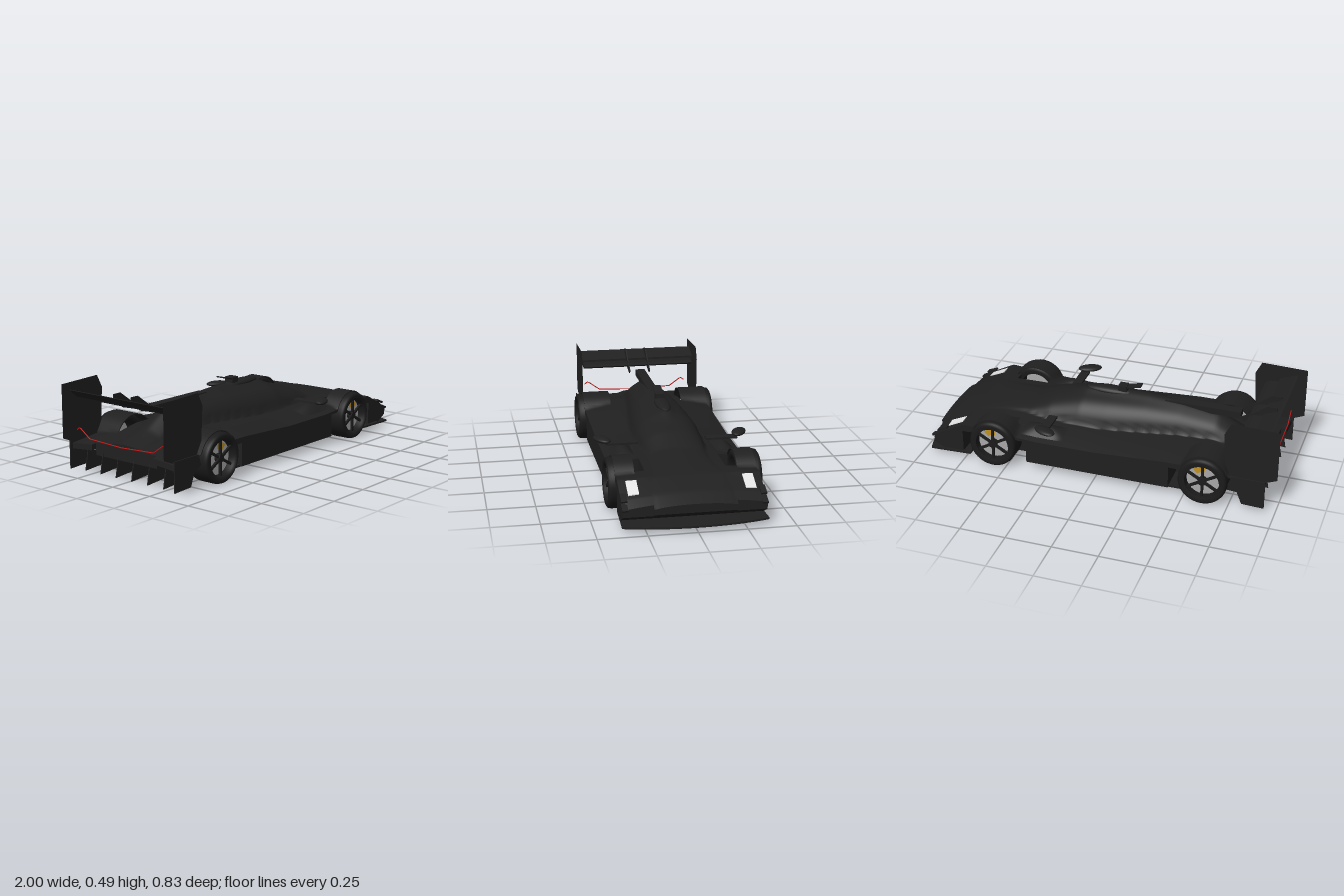
import * as THREE from 'three';

const paint = (name, color) => new THREE.MeshStandardMaterial({ name, color, side: THREE.DoubleSide });
const { clamp, smoothstep } = THREE.MathUtils;

// Body stations: x, roof height, canopy half width, shoulder height, edge height
const STATIONS = [
  [-0.94, 0.185, 0.10, 0.175, 0.155], [-0.75, 0.235, 0.10, 0.205, 0.175],
  [-0.60, 0.315, 0.11, 0.235, 0.20], [-0.40, 0.348, 0.13, 0.24, 0.20],
  [-0.20, 0.36, 0.155, 0.235, 0.19], [0.00, 0.358, 0.175, 0.23, 0.18],
  [0.15, 0.353, 0.18, 0.235, 0.18], [0.33, 0.31, 0.17, 0.235, 0.18],
  [0.46, 0.257, 0.15, 0.235, 0.19], [0.60, 0.238, 0.15, 0.228, 0.20],
  [0.75, 0.218, 0.18, 0.215, 0.212], [0.88, 0.172, 0.20, 0.168, 0.145],
  [0.96, 0.13, 0.20, 0.125, 0.09],
];
const EDGE = 0.365, AXLE_Y = 0.133, WHEELS = [-0.61, 0.572];

// Height of the upper skin: sloping shoulder, canopy dome and a narrow roof ridge
function skin(x, z) {
  let i = 0;
  while (i < STATIONS.length - 2 && x > STATIONS[i + 1][0]) i++;
  const a = STATIONS[i], b = STATIONS[i + 1];
  const t = clamp((x - a[0]) / (b[0] - a[0]), 0, 1);
  const [, roof, half, shoulder, edge] = a.map((v, k) => v + (b[k] - v) * t);
  const base = shoulder + (edge - shoulder) * (z / EDGE) ** 2;
  const dome = Math.pow(Math.max(0, 1 - Math.pow(Math.abs(z) / half, 2.9)), 0.6);
  const ridge = 0.022 * Math.exp(-((z / 0.045) ** 2)) * smoothstep(x, -0.9, -0.6) * (1 - smoothstep(x, 0.1, 0.28));
  return base + (roof - shoulder) * dome + ridge;
}

// Underside: flat floor, lifted nose tip and rising diffuser
function belly(x) {
  if (x > 0.86) return 0.035 + (x - 0.86) * 0.55;
  if (x < -0.6) return 0.05 + (-0.6 - x) * 0.2;
  return 0.045;
}

// Circular arch of radius r around the nearest axle
function arch(x, r) {
  const d = x - (x < 0 ? WHEELS[0] : WHEELS[1]);
  return Math.abs(d) < r ? AXLE_Y + Math.sqrt(r * r - d * d) : 0;
}

export function createModel() {
  const car = new THREE.Group();
  car.name = 'raceCar';
  const body = paint('body black', 0x202020);
  const rubber = paint('tyre black', 0x1b1b1b);
  const silver = paint('disc silver', 0xa8a8a8);
  const gold = paint('caliper gold', 0xc09020);
  const lamp = paint('headlight white', 0xe4e4e4);
  const red = paint('tail light red', 0xc01616);

  function add(name, geometry, material, x = 0, y = 0, z = 0, parent = car) {
    const mesh = new THREE.Mesh(geometry, material);
    mesh.name = name;
    mesh.position.set(x, y, z);
    parent.add(mesh);
    return mesh;
  }
  const box = (name, w, h, d, mat, x, y, z) => add(name, new THREE.BoxGeometry(w, h, d), mat, x, y, z);

  // Segmented box whose top and bottom follow the given height rules
  function block(name, x0, x1, z0, z1, top, bottom, mat = body, nx = 32, nz = 8) {
    const g = new THREE.BoxGeometry(x1 - x0, 1, z1 - z0, nx, 1, nz);
    g.translate((x0 + x1) / 2, 0, (z0 + z1) / 2);
    const p = g.attributes.position;
    for (let i = 0; i < p.count; i++) {
      const x = p.getX(i), z = p.getZ(i);
      p.setY(i, p.getY(i) > 0 ? top(x, z) : bottom(x, z));
    }
    g.computeVertexNormals();
    return add(name, g, mat);
  }
  const pair = (fn) => [1, -1].forEach(fn);
  const sideBlock = (s, name, x0, x1, zi, zo, ...rest) =>
    block(name, x0, x1, s > 0 ? zi : -zo, s > 0 ? zo : -zi, ...rest);

  const flat = (points) => new THREE.Shape(points.map(([x, y]) => new THREE.Vector2(x, y)));

  // Plate or wing drawn in side outline and extruded across the car
  const slab = (name, points, width, z) => add(name,
    new THREE.ExtrudeGeometry(flat(points), { depth: width, bevelEnabled: false }), body, 0, 0, z - width / 2);

  // Central hull
  block('centralHull', -0.9, 0.955, -0.21, 0.21, skin, belly, body, 120, 48);

  pair((s) => {
    // Side pods, front corners and rear deck
    sideBlock(s, 'sidePod', -0.42, 0.385, 0.21, EDGE, skin, belly);
    sideBlock(s, 'noseCorner', 0.757, 0.93, 0.21, EDGE, skin, belly);
    sideBlock(s, 'rearDeck', -0.93, -0.77, 0.21, 0.35, skin, (x, z) => skin(x, z) - 0.03);

    // Wheel arches; a slot stays open beside each front wheel
    const over = (x, z) => Math.max(skin(x, z), arch(x, 0.14));
    const under = (x, z) => Math.min(over(x, z) - 0.004, Math.max(0.17, arch(x, 0.135)));
    sideBlock(s, 'frontFender', 0.385, 0.757, 0.265, EDGE, over, under);
    sideBlock(s, 'rearFender', -0.77, -0.42, 0.21, EDGE, over, under);
    sideBlock(s, 'frontSlotRear', 0.385, 0.475, 0.21, 0.265, skin, belly);
    sideBlock(s, 'frontSlotFront', 0.66, 0.757, 0.21, 0.265, skin, (x, z) => skin(x, z) - 0.05);

    // Headlights follow the nose surface
    sideBlock(s, 'headlight', 0.77, 0.86, 0.27, 0.325,
      (x, z) => skin(x, z) + 0.005, (x, z) => skin(x, z) - 0.003, lamp, 6, 4);

    // Small canards on the nose corners
    for (const [x, y] of [[0.88, 0.158], [0.915, 0.122]]) {
      const canard = box('canard', 0.06, 0.01, 0.03, body, x, y, s * 0.352);
      canard.rotation.z = -0.4;
    }

    // Mirrors on flat arms and the swelling on each shoulder
    const mirror = add('mirror', new THREE.SphereGeometry(1, 20, 12), body, 0.27, 0.268, s * 0.372);
    mirror.scale.set(0.068, 0.016, 0.036);
    mirror.rotation.y = s * 0.45;
    box('mirrorArm', 0.05, 0.01, 0.17, body, 0.29, 0.25, s * 0.27);
    sideBlock(s, 'shoulderVane', 0.19, 0.43, 0.22, 0.33,
      (x, z) => skin(x, z) + 0.035 * Math.sin(Math.PI * (x - 0.19) / 0.24)
        * Math.sin(Math.PI * (Math.abs(z) - 0.22) / 0.11),
      (x, z) => skin(x, z) - 0.005, body, 20, 10);

    // Rear side plates and wing endplates
    slab('rearSidePlate', [
      [-0.94, 0.02], [-0.82, 0.025], [-0.79, 0.1], [-0.74, 0.12], [-0.76, 0.18], [-0.94, 0.18],
    ], 0.006, s * 0.36);
    add('wingEndplate', new THREE.ShapeGeometry(flat([
      [-1, 0.195], [-0.94, 0.17], [-0.76, 0.17], [-0.72, 0.24],
      [-0.71, 0.42], [-0.745, 0.488], [-1, 0.48],
    ])), body, 0, 0, s * 0.347);

    // Wing supports rising from the spine
    slab('wingSupport', [
      [-0.92, 0.455], [-0.87, 0.455], [-0.8, 0.405], [-0.72, 0.365], [-0.74, 0.345], [-0.85, 0.375], [-0.92, 0.42],
    ], 0.006, s * 0.06);
  });

  // Flat floor outside the hull and the front splitter
  box('floor', 0.97, 0.012, 0.7, body, -0.105, 0.046, 0);
  const splitter = new THREE.Shape();
  splitter.moveTo(0.72, -0.36);
  splitter.lineTo(0.95, -0.37);
  splitter.bezierCurveTo(1.0165, -0.16, 1.0165, 0.16, 0.95, 0.37);
  splitter.lineTo(0.72, 0.36);
  const splitterGeo = new THREE.ExtrudeGeometry(splitter, { depth: 0.01, bevelEnabled: false, curveSegments: 24 });
  splitterGeo.rotateX(Math.PI / 2);
  add('frontSplitter', splitterGeo, body, 0, 0.035, 0);

  // Diffuser strakes
  for (let i = 0; i < 6; i++) {
    slab('diffuserStrake', [[-0.92, 0.02], [-0.72, 0.035], [-0.66, 0.07], [-0.9, 0.13]], 0.005, -0.27 + i * 0.108);
  }

  // Rear wing: upper flap and lower plane
  slab('rearWingFlap', [[-0.95, 0.442], [-0.94, 0.442], [-0.85, 0.408], [-0.85, 0.39], [-0.9, 0.4]], 0.69, 0);
  slab('rearWingPlane', [[-0.87, 0.398], [-0.8, 0.393], [-0.775, 0.383], [-0.8, 0.37], [-0.86, 0.382]], 0.66, 0);

  // Spine behind the engine cover and roof scoop
  box('spine', 0.42, 0.036, 0.055, body, -0.51, 0.354, 0);
  const scoop = add('roofScoop', new THREE.SphereGeometry(1, 20, 12), body, 0.02, 0.37, 0);
  scoop.scale.set(0.14, 0.022, 0.04);
  box('scoopMouth', 0.05, 0.032, 0.052, body, -0.055, 0.397, 0);
  const blade = box('roofBlade', 0.1, 0.007, 0.045, body, -0.11, 0.413, 0);
  blade.rotation.z = -0.25;

  // Tail light strip with raised ends
  const tail = new THREE.CurvePath();
  const tailPts = [[0.235, -0.31], [0.25, -0.29], [0.2, -0.22], [0.19, 0], [0.2, 0.22], [0.25, 0.29], [0.235, 0.31]]
    .map(([y, z]) => new THREE.Vector3(-0.934, y, z));
  for (let i = 1; i < tailPts.length; i++) tail.add(new THREE.LineCurve3(tailPts[i - 1], tailPts[i]));
  add('tailLight', new THREE.TubeGeometry(tail, 60, 0.003, 6), red);

  // Wheels: tyre, disc, caliper, hub and six spokes
  const tyreGeo = new THREE.LatheGeometry([
    [0.094, -0.062], [0.118, -0.067], [0.129, -0.06], [0.133, -0.045],
    [0.133, 0.045], [0.129, 0.06], [0.118, 0.067], [0.094, 0.062], [0.09, 0.03], [0.094, -0.062],
  ].map(([r, h]) => new THREE.Vector2(r, h)), 48).rotateX(Math.PI / 2);
  const discGeo = new THREE.CylinderGeometry(0.09, 0.09, 0.012, 40).rotateX(Math.PI / 2);
  const hubGeo = new THREE.CylinderGeometry(0.02, 0.024, 0.04, 20).rotateX(Math.PI / 2);
  const caliperGeo = new THREE.RingGeometry(0.045, 0.08, 12, 1, Math.PI * 0.25, Math.PI * 0.3);
  for (const x of WHEELS) {
    pair((s) => {
      const wheel = new THREE.Group();
      wheel.name = x > 0 ? 'frontWheel' : 'rearWheel';
      wheel.position.set(x, AXLE_Y, s * 0.332);
      add('tyre', tyreGeo, rubber, 0, 0, 0, wheel);
      add('brakeDisc', discGeo, silver, 0, 0, s * 0.02, wheel);
      add('caliper', caliperGeo, gold, 0, 0, s * 0.031, wheel);
      add('hub', hubGeo, rubber, 0, 0, s * 0.035, wheel);
      for (let i = 0; i < 6; i++) {
        const spoke = new THREE.Group();
        spoke.name = 'spoke';
        spoke.rotation.z = Math.PI / 6 + i * Math.PI / 3;
        add('spokeBar', new THREE.BoxGeometry(0.08, 0.013, 0.012), rubber, 0.053, 0, s * 0.046, spoke);
        wheel.add(spoke);
      }
      car.add(wheel);
    });
  }
  return car;
}
